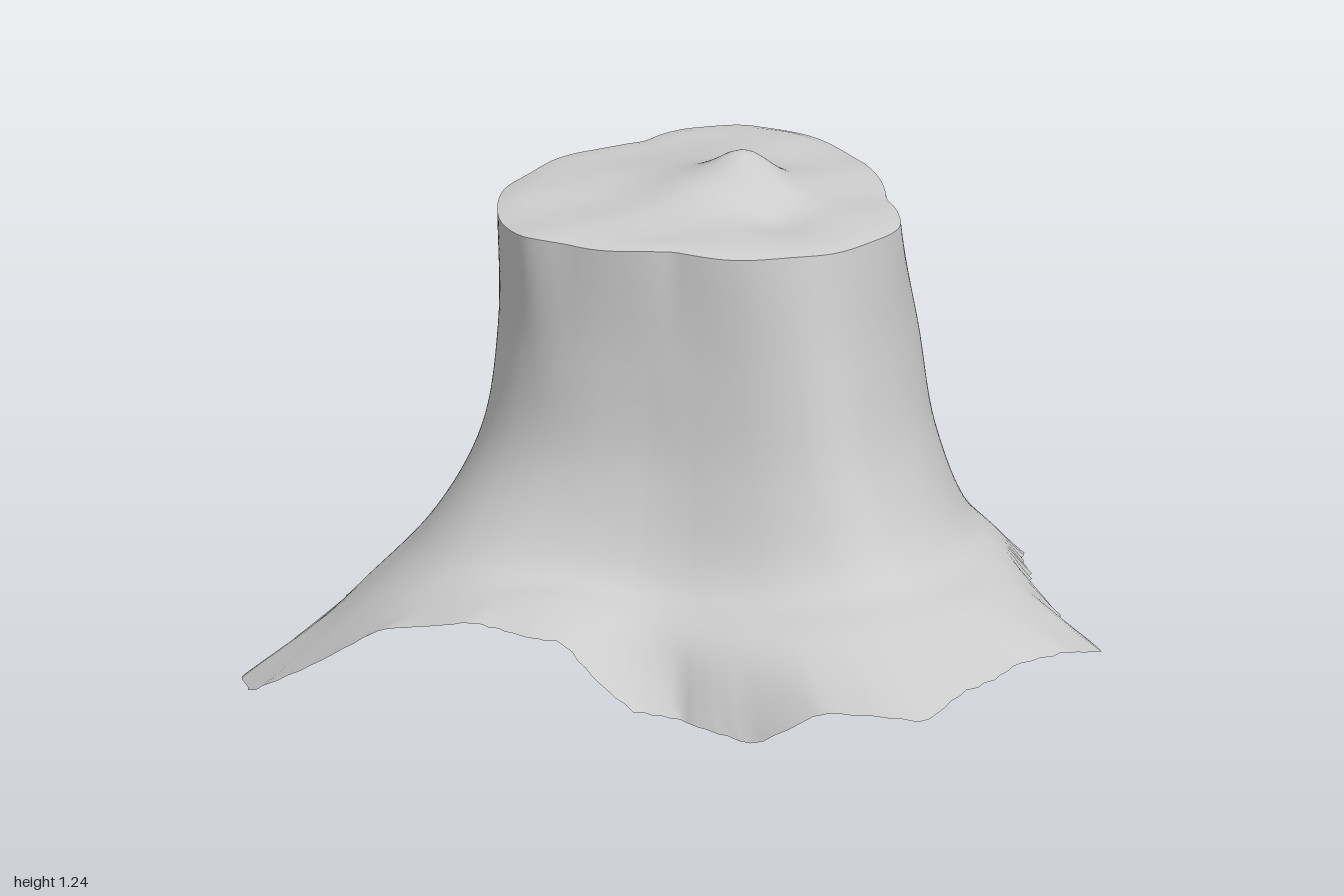
import * as THREE from 'three';

const STEPS = 240, ROWS = 40, CAP_ROWS = 16, TAU = Math.PI * 2;

// Ragged ground edge: x, z, y
const EDGE = [
  [0.77, 0.06, 0.27], [0.83, 0.12, 0.25], [0.88, 0.24, 0.24], [1, 0.37, 0.23], [0.93, 0.52, 0.28],
  [0.83, 0.63, 0.28], [0.74, 0.8, 0.27], [0.67, 0.95, 0.25], [0.6, 0.96, 0.26], [0.43, 0.93, 0.25],
  [0.27, 0.89, 0.15], [0.08, 0.77, 0.16], [-0.02, 0.8, 0.18], [-0.2, 0.72, 0.31], [-0.42, 0.67, 0.33],
  [-0.63, 0.61, 0.28], [-0.95, 0.47, 0.06], [-1, 0.35, 0.05], [-0.93, 0.2, 0.03], [-0.91, 0, 0.03],
  [-0.81, -0.04, 0.06], [-0.84, -0.18, 0.05], [-0.79, -0.38, 0.05], [-0.78, -0.43, 0.04], [-0.58, -0.43, 0.1],
  [-0.35, -0.47, 0.09], [-0.2, -0.57, 0.13], [-0.17, -0.7, 0.1], [-0.07, -0.96, 0], [0.15, -0.86, 0.08],
  [0.28, -0.9, 0.1], [0.36, -0.85, 0.11], [0.37, -0.74, 0.13], [0.5, -0.69, 0.12], [0.54, -0.62, 0.13],
  [0.56, -0.47, 0.14], [0.65, -0.4, 0.19], [0.72, -0.16, 0.26]
];
// Rim of the cut top: x, z
const RIM = [
  [0.48, 0.06], [0.46, 0.14], [0.38, 0.25], [0.25, 0.34], [0, 0.36], [-0.25, 0.35], [-0.35, 0.33],
  [-0.42, 0.22], [-0.44, 0.07], [-0.4, -0.1], [-0.33, -0.22], [-0.17, -0.35], [-0.1, -0.46],
  [0.03, -0.51], [0.14, -0.49], [0.27, -0.4], [0.36, -0.27], [0.42, -0.1]
];
// Flare of the trunk: degrees, radius at y 0.85, radius at y 0.6,
// then radius and height where the roots begin, then of the roots further out
const FLARE = [
  [0, 0.51, 0.55, 0.63, 0.40, 0.70, 0.34],
  [30, 0.50, 0.57, 0.70, 0.41, 0.86, 0.36],
  [45, 0.51, 0.60, 0.72, 0.42, 0.86, 0.36],
  [60, 0.45, 0.52, 0.64, 0.41, 0.84, 0.36],
  [75, 0.39, 0.44, 0.55, 0.39, 0.74, 0.32],
  [90, 0.37, 0.40, 0.50, 0.38, 0.64, 0.30],
  [105, 0.38, 0.41, 0.51, 0.39, 0.63, 0.36],
  [120, 0.42, 0.45, 0.56, 0.40, 0.67, 0.37],
  [135, 0.46, 0.50, 0.63, 0.41, 0.78, 0.32],
  [150, 0.47, 0.52, 0.66, 0.39, 0.84, 0.24],
  [180, 0.44, 0.47, 0.56, 0.40, 0.73, 0.20],
  [210, 0.40, 0.41, 0.46, 0.38, 0.62, 0.20],
  [225, 0.38, 0.39, 0.43, 0.38, 0.50, 0.20],
  [240, 0.42, 0.43, 0.46, 0.38, 0.50, 0.22],
  [255, 0.46, 0.48, 0.56, 0.37, 0.65, 0.21],
  [270, 0.50, 0.545, 0.65, 0.38, 0.79, 0.19],
  [300, 0.49, 0.52, 0.58, 0.38, 0.69, 0.22],
  [315, 0.48, 0.50, 0.54, 0.38, 0.62, 0.24],
  [330, 0.48, 0.52, 0.59, 0.39, 0.67, 0.29]
];

// Turns an outline into a lookup of radius and height by angle
function polar(points) {
  const p = points.map(([x, z, y = 0]) => [(Math.atan2(z, x) + TAU) % TAU, Math.hypot(x, z), y])
    .sort((a, b) => a[0] - b[0]);
  const last = p[p.length - 1], first = p[0];
  p.unshift([last[0] - TAU, last[1], last[2]]);
  p.push([first[0] + TAU, first[1], first[2]]);
  return angle => {
    const a = ((angle % TAU) + TAU) % TAU;
    let i = 1;
    while (i < p.length - 1 && p[i][0] < a) i++;
    const [a0, r0, y0] = p[i - 1], [a1, r1, y1] = p[i];
    const k = (a - a0) / (a1 - a0 || 1);
    return [r0 + (r1 - r0) * k, y0 + (y1 - y0) * k];
  };
}

// Averages a lookup over a small arc
const smooth = (fn, arc) => angle => {
  let r = 0, y = 0;
  for (let k = -4; k <= 4; k++) {
    const s = fn(angle + arc * k / 4);
    r += s[0] / 9;
    y += s[1] / 9;
  }
  return [r, y];
};

// A smooth ring through the flare table
const ring = pick => smooth(polar(FLARE.map(([deg, ...row]) => {
  const a = THREE.MathUtils.degToRad(deg), [r, y] = pick(row);
  return [r * Math.cos(a), r * Math.sin(a), y];
})), 0.13);

const rim = smooth(polar(RIM), 0.05);
const rings = [
  ring(f => [f[0], 0.85]),
  ring(f => [f[1], 0.6]),
  ring(f => [f[2], f[3]]),
  ring(f => [f[4], f[5]]),
  polar(EDGE)
];

// Height of the cut surface, with its splintered hump
function topHeight(x, z) {
  const hump = 0.05 * Math.exp(-((x - 0.11) ** 2 + (z + 0.03) ** 2) / 0.006)
    + 0.06 * Math.exp(-((x - 0.05) ** 2 + (z + 0.03) ** 2) / 0.03);
  const dip = 0.02 * Math.exp(-((x - 0.2) ** 2 + (z - 0.12) ** 2) / 0.008);
  return 1.145 - 0.025 * x + hump - dip + 0.005 * Math.sin(17 * x + 2) * Math.sin(19 * z);
}

// Closed rings of points joined into a surface
function loft(rows, pointAt) {
  const pos = [], index = [];
  for (let i = 0; i <= rows; i++) {
    for (let j = 0; j < STEPS; j++) {
      pos.push(...pointAt(i / rows, j / STEPS * TAU));
      if (i === rows) continue;
      const a = i * STEPS + j, b = i * STEPS + (j + 1) % STEPS;
      index.push(a, b, a + STEPS, b, b + STEPS, a + STEPS);
    }
  }
  const g = new THREE.BufferGeometry();
  g.setAttribute('position', new THREE.Float32BufferAttribute(pos, 3));
  g.setIndex(index);
  g.computeVertexNormals();
  return g;
}

// Curve down the trunk at an angle, from the rim through every ring
function trunkPoint(t, a) {
  const c = Math.cos(a), s = Math.sin(a);
  const [r0] = rim(a), y0 = topHeight(r0 * c, r0 * s) - 0.01;
  const profile = new THREE.CatmullRomCurve3([[r0, y0], ...rings.map(f => f(a))]
    .map(([r, y]) => new THREE.Vector3(r, y, 0)));
  const p = profile.getPoint(t);
  // small nicks near the ground edge
  const r = p.x + 0.01 * t ** 12 * Math.sin(41 * a) * Math.sin(67 * a);
  return [r * c, p.y, r * s];
}

function capPoint(t, a) {
  const [r] = rim(a);
  const x = THREE.MathUtils.lerp(0.06, r * Math.cos(a), t);
  const z = THREE.MathUtils.lerp(-0.02, r * Math.sin(a), t);
  return [x, topHeight(x, z) - 0.01 * t ** 20, z];
}

export function createModel() {
  const group = new THREE.Group();
  group.name = 'treeStump';
  const material = new THREE.MeshStandardMaterial({ color: 0xcccccc, side: THREE.DoubleSide });
  const add = (name, geometry) => {
    const mesh = new THREE.Mesh(geometry, material);
    mesh.name = name;
    group.add(mesh);
  };
  add('trunkAndRoots', loft(ROWS, trunkPoint));
  add('cutTop', loft(CAP_ROWS, capPoint));
  return group;
}
